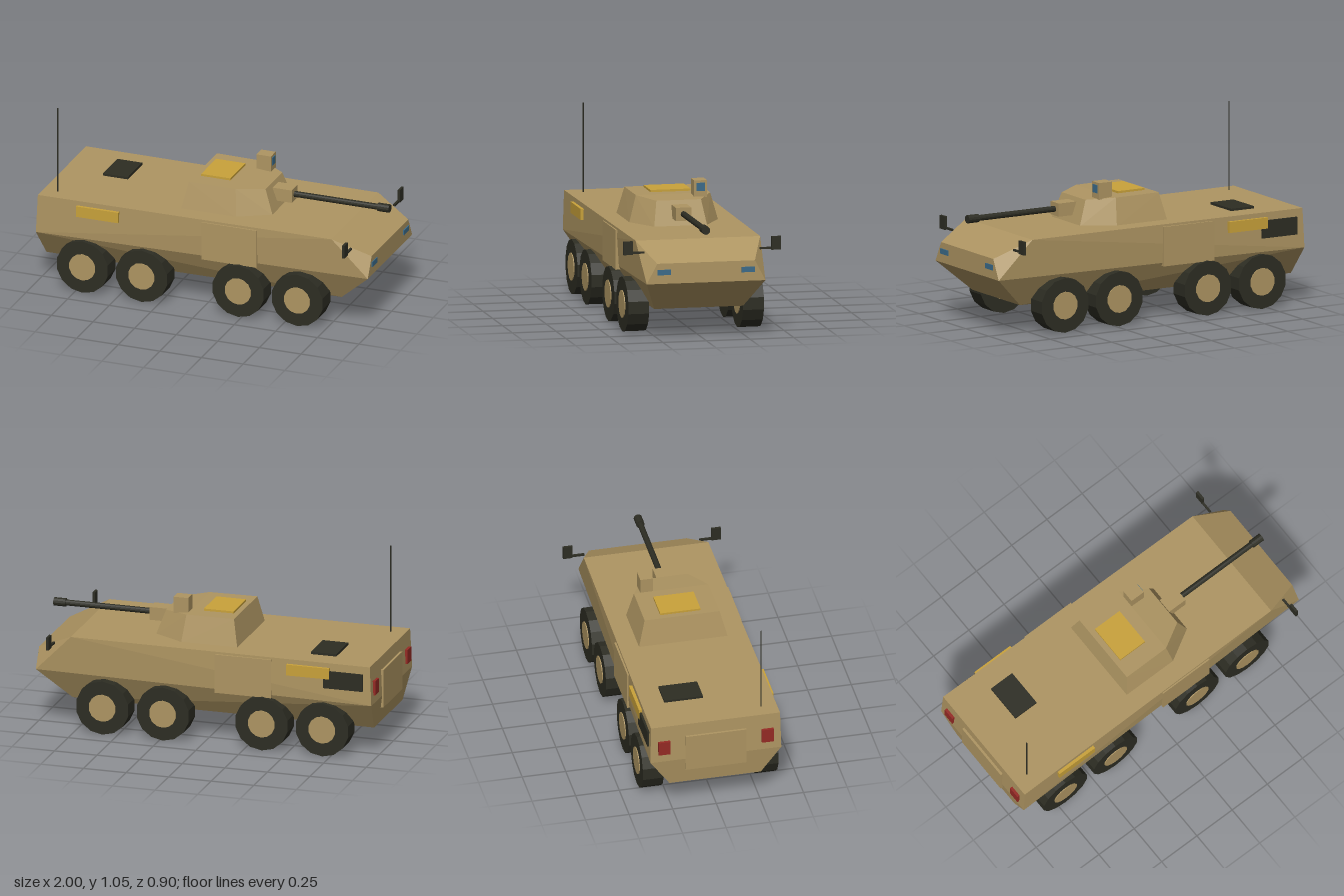
import * as THREE from 'three';
import { ConvexGeometry } from 'three/addons/geometries/ConvexGeometry.js';

const paint = (name, color, flatShading = false) => {
  const m = new THREE.MeshStandardMaterial({ color, flatShading });
  m.name = name;
  return m;
};

export function createModel() {
  const tan = paint('tan armour', 0xae9562, true);
  const dark = paint('dark rubber', 0x2d2d23, true);
  const ochre = paint('ochre', 0xc9a23a);
  const blue = paint('blue glass', 0x3b6b8a);
  const red = paint('red lamp', 0x962a24);

  const model = new THREE.Group();
  model.name = 'armouredCarrier';

  const add = (name, geometry, material, x = 0, y = 0, z = 0) => {
    const mesh = new THREE.Mesh(geometry, material);
    mesh.name = name;
    mesh.position.set(x, y, z);
    model.add(mesh);
    return mesh;
  };
  // Box given by its minimum and maximum on each axis
  const box = (name, material, [x0, x1], [y0, y1], [z0, z1]) =>
    add(name, new THREE.BoxGeometry(x1 - x0, y1 - y0, z1 - z0), material,
      (x0 + x1) / 2, (y0 + y1) / 2, (z0 + z1) / 2);
  // Faceted solid from corners mirrored across z
  const solid = (name, material, corners) =>
    add(name, new ConvexGeometry(corners.flatMap(([x, y, z]) =>
      [new THREE.Vector3(x, y, z), new THREE.Vector3(x, y, -z)])), material);
  // Round bar along x
  const barX = (name, r, x0, x1, y, z) => {
    const g = new THREE.CylinderGeometry(r, r, x1 - x0, 12);
    g.rotateZ(Math.PI / 2);
    return add(name, g, dark, (x0 + x1) / 2, y, z);
  };

  // Hull
  solid('hull', tan, [
    [-0.98, 0.545, 0.37], [-0.99, 0.32, 0.375], [-0.97, 0.157, 0.262],
    [0.78, 0.545, 0.357], [0.99, 0.445, 0.28], [0.99, 0.33, 0.34], [0.8, 0.157, 0.255],
  ]);

  // Turret, with its roof dropping slightly to the front
  solid('turret', tan, [
    [-0.165, 0.54, 0.255], [0.165, 0.54, 0.255], [0.345, 0.54, 0.152],
    [-0.133, 0.697, 0.215], [0.147, 0.695, 0.213], [0.293, 0.683, 0.128],
  ]);
  box('turretHatch', ochre, [-0.1, 0.075], [0.69, 0.708], [-0.118, 0.113]);
  box('sightBox', tan, [0.148, 0.235], [0.685, 0.78], [-0.176, -0.102]);
  box('sightLens', blue, [0.233, 0.24], [0.72, 0.766], [-0.163, -0.115]);

  // Gun
  box('gunMantlet', tan, [0.3, 0.418], [0.585, 0.66], [-0.044, 0.044]);
  barX('gunBarrel', 0.017, 0.4, 0.95, 0.623, 0);
  barX('gunMuzzle', 0.024, 0.92, 0.99, 0.623, 0);

  // Roof and rear fittings
  box('engineHatch', dark, [-0.742, -0.592], [0.54, 0.558], [-0.24, -0.018]);
  add('antenna', new THREE.CylinderGeometry(0.004, 0.004, 0.51, 6), dark, -0.895, 0.795, 0.28);
  box('rearDoor', tan, [-0.997, -0.96], [0.25, 0.47], [-0.175, 0.175]);
  box('exhaustGrille', dark, [-0.94, -0.71], [0.4, 0.5], [-0.382, -0.35]);

  // Side doors sit further back on one side than the other
  box('sideDoor', tan, [0.003, 0.332], [0.307, 0.532], [0.34, 0.37]);
  box('sideDoor', tan, [-0.4, -0.07], [0.307, 0.532], [-0.375, -0.34]);

  for (const s of [-1, 1]) {
    const span = (a, b) => (s > 0 ? [a, b] : [-b, -a]);
    box('stowageBox', ochre, [-0.745, -0.492], [0.455, 0.518], span(0.35, 0.386));
    box('headlight', blue, [0.986, 0.996], [0.38, 0.41], span(0.203, 0.28));
    box('tailLight', red, [-1, -0.978], [0.37, 0.452], span(0.262, 0.33));

    // Mirror on its arm
    box('mirrorArm', dark, [0.88, 0.892], [0.489, 0.5], span(0.33, 0.42));
    box('mirror', dark, [0.88, 0.895], [0.484, 0.56], span(0.398, 0.452));

    // Four wheels with hubs showing on both faces
    for (const x of [-0.705, -0.35, 0.23, 0.585]) {
      const tyre = new THREE.CylinderGeometry(0.156, 0.156, 0.12, 14);
      const hub = new THREE.CylinderGeometry(0.079, 0.079, 0.13, 14);
      add('tyre', tyre.rotateX(Math.PI / 2), dark, x, 0.156, s * 0.329);
      add('hub', hub.rotateX(Math.PI / 2), tan, x, 0.156, s * 0.329);
    }
  }
  return model;
}
